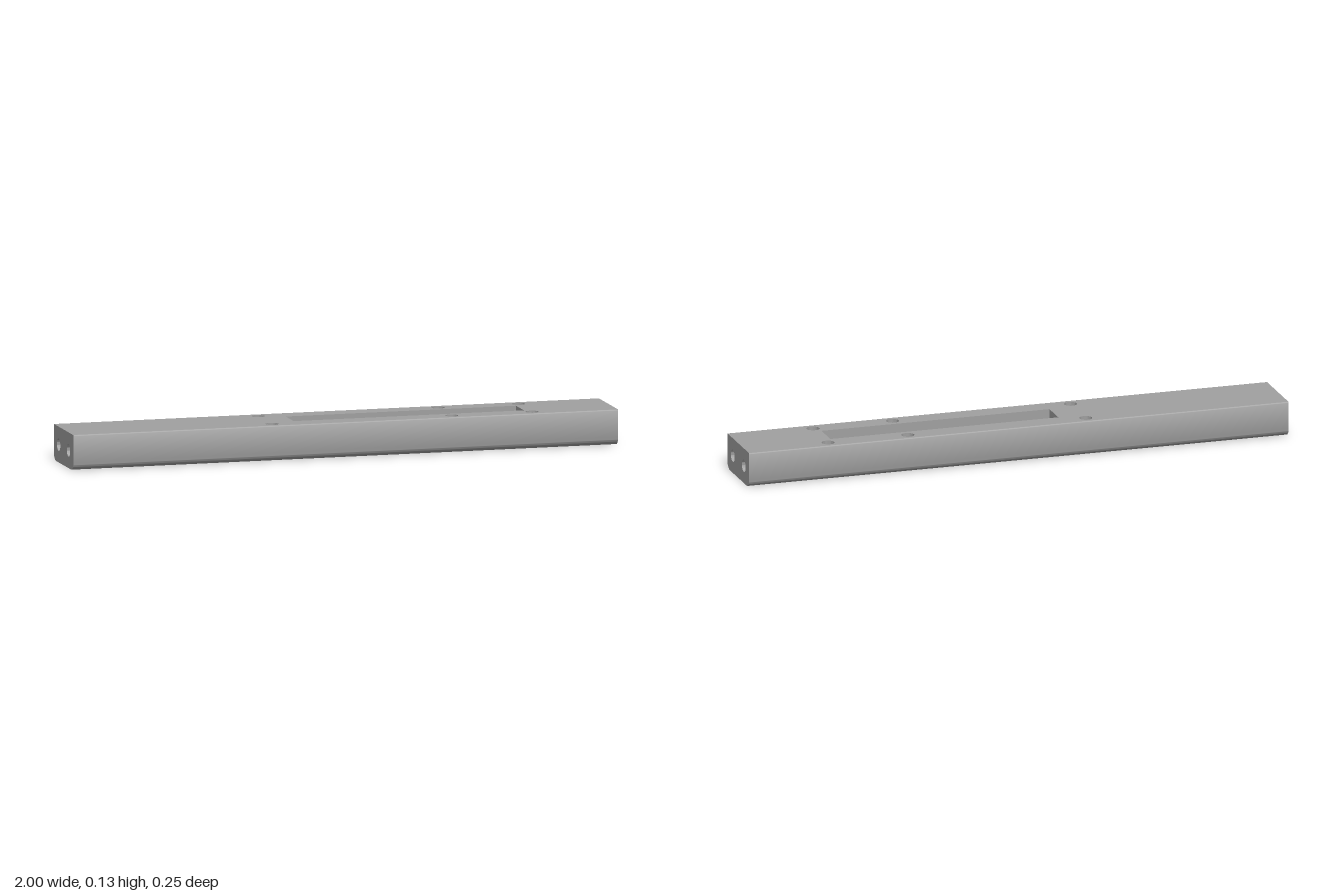
import * as THREE from 'three';
import { toCreasedNormals } from 'three/addons/utils/BufferGeometryUtils.js';

const HALF = 0.126, HEIGHT = 0.128, EDGE = 0.004, ROUND = 0.03;

// Outlines, all counter-clockwise
const rect = (x0, y0, x1, y1) => [[x0, y0], [x1, y0], [x1, y1], [x0, y1]].map(p => new THREE.Vector2(...p));

function slot(cx, cy, r, h = 0) {
  const s = new THREE.Shape();
  if (h) {
    s.absarc(cx + h, cy, r, -Math.PI / 2, Math.PI / 2);
    s.absarc(cx - h, cy, r, Math.PI / 2, Math.PI * 1.5);
  } else s.absarc(cx, cy, r, 0, Math.PI * 2);
  const pts = s.getPoints(24);
  if (pts[0].distanceTo(pts[pts.length - 1]) < 1e-6) pts.pop();
  return pts;
}

// Strip swept from z = 0 to z = -depth along a line of points
function wall(pts, depth, closed) {
  const pos = [], idx = [], n = pts.length;
  for (const p of pts) pos.push(p.x, p.y, 0, p.x, p.y, -depth);
  for (let i = 0; i < (closed ? n : n - 1); i++) {
    const a = 2 * i, b = 2 * ((i + 1) % n);
    idx.push(a, b, a + 1, b, b + 1, a + 1);
  }
  const g = new THREE.BufferGeometry();
  g.setAttribute('position', new THREE.Float32BufferAttribute(pos, 3));
  g.setIndex(idx);
  return toCreasedNormals(g, 0.6);
}

export function createModel() {
  const model = new THREE.Group();
  model.name = 'machinedBar';
  const metal = new THREE.MeshStandardMaterial({ color: 0xa0a0a0 });
  metal.name = 'grey metal';

  const add = (parent, name, geometry) => {
    const mesh = new THREE.Mesh(geometry, metal);
    mesh.name = name;
    parent.add(mesh);
    return mesh;
  };

  // Flat face looking along local +z, with blind cavities sunk into it
  function face(name, outline, cavities) {
    const group = new THREE.Group();
    group.name = name;
    const shape = new THREE.Shape(outline);
    shape.holes = cavities.map(c => new THREE.Path(c.pts));
    add(group, name + 'Surface', new THREE.ShapeGeometry(shape));
    for (const c of cavities) {
      add(group, c.name + 'Wall', wall(c.pts, c.depth, true));
      add(group, c.name + 'Floor', new THREE.ShapeGeometry(new THREE.Shape(c.pts))).position.z = -c.depth;
    }
    model.add(group);
    return group;
  }

  // Top: long pocket and three pairs of screw holes
  const topCavities = [{ name: 'pocket', pts: rect(-0.17, -0.051, 0.675, 0.051), depth: 0.05 }];
  for (const x of [-0.26, 0.4, 0.695])
    for (const s of [-1, 1])
      topCavities.push({ name: 'topHole', pts: slot(x, s * 0.088, 0.023), depth: 0.06 });
  const top = face('topFace', rect(-1, EDGE - HALF, 1, HALF - EDGE), topCavities);
  top.rotation.x = -Math.PI / 2;
  top.position.y = HEIGHT;

  // Underside: long slot, two short slots, two small holes
  const bottom = face('bottomFace', rect(-1, ROUND - HALF, 1, HALF - ROUND), [
    { name: 'longSlot', pts: slot(-0.6, 0, 0.05, 0.228), depth: 0.065 },
    { name: 'middleSlot', pts: slot(0.27, 0, 0.055, 0.032), depth: 0.065 },
    { name: 'endSlot', pts: slot(0.82, 0, 0.055, 0.032), depth: 0.065 },
    { name: 'smallHole', pts: slot(0.105, 0, 0.019), depth: 0.06 },
    { name: 'smallHole', pts: slot(-0.02, 0, 0.019), depth: 0.06 },
  ]);
  bottom.rotation.x = Math.PI / 2;

  // Half of the cross-section, from the top edge round to the underside
  const half = new THREE.Path();
  half.absarc(HALF - EDGE, HEIGHT - EDGE, EDGE, Math.PI / 2, 0, true);
  half.absarc(HALF - ROUND, ROUND, ROUND, 0, -Math.PI / 2, true);
  const side = half.getPoints(12);
  const mirrored = side.map(p => new THREE.Vector2(-p.x, p.y)).reverse();

  // Long sides
  [side, mirrored].forEach((pts, i) => {
    const skin = add(model, i ? 'frontSide' : 'backSide', wall(pts, 2, false));
    skin.rotation.y = Math.PI / 2;
    skin.position.x = 1;
  });

  // Ends, each with two bored holes
  for (const s of [-1, 1]) {
    const end = face(s > 0 ? 'leftEnd' : 'rightEnd', [...side, ...mirrored],
      [-0.063, 0.063].map(z => ({ name: 'endHole', pts: slot(z, 0.063, 0.022), depth: 0.08 })));
    end.rotation.y = s * Math.PI / 2;
    end.position.x = s;
  }
  return model;
}
